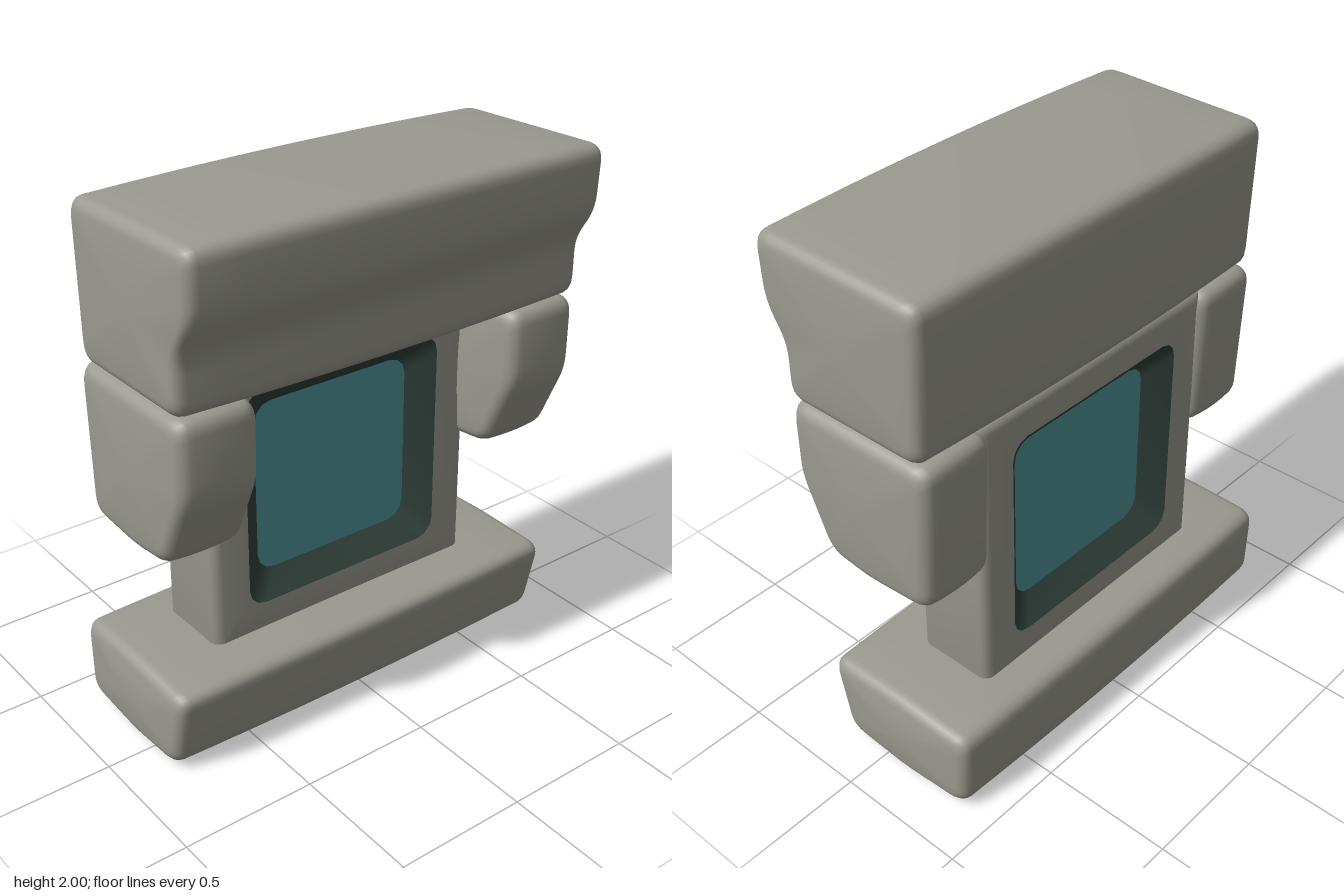
import * as THREE from 'three';
import { toCreasedNormals } from 'three/addons/utils/BufferGeometryUtils.js';

const material = (name, color, extra = {}) => {
  const m = new THREE.MeshStandardMaterial({ color, ...extra });
  m.name = name;
  return m;
};

// Skins a list of closed rings (equal point counts) with smooth, creased normals
function loft(rings, crease = 0.6) {
  const n = rings[0].length;
  const index = [];
  for (let r = 0; r < rings.length - 1; r++) {
    for (let i = 0; i < n; i++) {
      const j = (i + 1) % n;
      const a = r * n + i, b = r * n + j, c = a + n, d = b + n;
      index.push(a, b, d, a, d, c);
    }
  }
  const g = new THREE.BufferGeometry().setFromPoints(rings.flat());
  g.setIndex(index);
  return toCreasedNormals(g, crease);
}

// Rounds every corner of a [z, y] profile
function roundProfile(points, radius) {
  const pts = points.map(([x, y]) => new THREE.Vector2(x, y));
  return pts.flatMap((p, i) => {
    const toward = (q) => {
      const d = q.clone().sub(p);
      return p.clone().addScaledVector(d, Math.min(radius / d.length(), 0.45));
    };
    const prev = pts[(i + pts.length - 1) % pts.length];
    const next = pts[(i + 1) % pts.length];
    return new THREE.QuadraticBezierCurve(toward(prev), p, toward(next)).getPoints(5);
  });
}

// Soft stone block: a profile run along x, slightly swollen, with rounded ends
function stoneBlock(points, width, radius = 0.06) {
  const profile = roundProfile(points, radius);
  const box = new THREE.Box2().setFromPoints(profile);
  const c = box.getCenter(new THREE.Vector2());
  const half = box.getSize(new THREE.Vector2()).multiplyScalar(0.5);
  const X = width / 2, swell = 0.012, r = 0.045, end = X - swell;

  const ring = (x, inset, scale = 1) => {
    const k = (1 - 0.04 * (x / X) ** 2) * scale;
    return profile.map((p) => new THREE.Vector3(
      x,
      c.y + (p.y - c.y) * k * (1 - inset / half.y),
      c.x + (p.x - c.x) * k * (1 - inset / half.x)));
  };

  // One half from the middle outward, then mirrored
  const stations = [];
  for (let i = 1; i <= 5; i++) stations.push([(end - r) * i / 5, 0, 1]);
  for (let i = 1; i <= 5; i++) {
    const a = i / 5 * Math.PI / 2;
    stations.push([end - r + r * Math.sin(a), r * (1 - Math.cos(a)), 1]);
  }
  for (const s of [0.7, 0.35, 0]) stations.push([end + swell * (1 - s * s), r, s]);
  const mirrored = stations.map(([x, i, s]) => [-x, i, s]).reverse();
  return loft([...mirrored, [0, 0, 1], ...stations].map((s) => ring(...s)));
}

// Rounded rectangle ring at depth z, counter-clockwise from the front
function rectRing(w, y0, y1, r, z) {
  const cy = (y0 + y1) / 2, hx = w / 2 - r, hy = (y1 - y0) / 2 - r;
  const out = [];
  for (let q = 0; q < 4; q++) {
    const sx = q === 0 || q === 3 ? 1 : -1;
    const sy = q < 2 ? 1 : -1;
    for (let i = 0; i <= 3; i++) {
      const a = (q + i / 3) * Math.PI / 2;
      out.push(new THREE.Vector3(sx * hx + r * Math.cos(a), cy + sy * hy + r * Math.sin(a), z));
    }
  }
  return out;
}

export function createModel() {
  const stone = material('stone', 0x9b9a90);
  const reveal = material('darkReveal', 0x30403a);
  const glass = material('tealGlass', 0x509599);

  const model = new THREE.Group();
  model.name = 'stoneWindow';
  const add = (name, geometry, mat, x = 0) => {
    const mesh = new THREE.Mesh(geometry, mat);
    mesh.name = name;
    mesh.position.x = x;
    model.add(mesh);
  };

  // Top beam with an overhanging front lip
  add('lintel', stoneBlock([
    [0.42, 2.0], [0.408, 1.76], [0.32, 1.62], [0.32, 1.405],
    [-0.28, 1.405], [-0.295, 1.985],
  ], 1.7), stone);

  // Bracket stones under both ends of the beam
  for (const side of [1, -1]) {
    add(side > 0 ? 'leftBracket' : 'rightBracket', stoneBlock([
      [0.32, 1.415], [0.318, 1.13], [0.19, 0.845], [0, 0.825],
      [-0.275, 0.845], [-0.295, 1.415],
    ], 0.33), stone, side * 0.687);
  }

  // Bottom ledge
  add('sill', stoneBlock([
    [0.255, 0.345], [0.185, 0.02], [-0.1, 0], [-0.41, 0.025],
    [-0.418, 0.345], [-0.1, 0.355],
  ], 1.7), stone);

  // Frame with rounded outer edges and an opening through it
  const front = 0.05, back = -0.262, bevel = 0.04;
  const edge = (k) => {
    const a = k / 4 * Math.PI / 2;
    const inset = bevel * (1 - Math.cos(a));
    return { inset, depth: bevel * (1 - Math.sin(a)) };
  };
  const outer = (k, isFront) => {
    const { inset, depth } = edge(k);
    return rectRing(1.14 - 2 * inset, 0.31 + inset, 1.42 - inset, 0.01,
      isFront ? front - depth : back + depth);
  };
  const opening = (z) => rectRing(0.84, 0.45, 1.285, 0.07, z);
  const inner = (z) => rectRing(0.665, 0.53, 1.195, 0.07, z);
  add('frame', loft([
    opening(back),
    ...[4, 3, 2, 1, 0].map((k) => outer(k, false)),
    ...[0, 1, 2, 3, 4].map((k) => outer(k, true)),
    opening(front),
  ]), stone);

  // Sloping reveals and glass panes on both faces
  const depth = 0.075;
  add('frontReveal', loft([opening(front), inner(front - depth)]), reveal);
  add('backReveal', loft([inner(back + depth), opening(back)]), reveal);
  const pane = new THREE.Shape(inner(0).map((p) => new THREE.Vector2(p.x, p.y)));
  const frontPane = new THREE.ShapeGeometry(pane).translate(0, 0, front - depth);
  const backPane = new THREE.ShapeGeometry(pane).rotateY(Math.PI).translate(0, 0, back + depth);
  add('frontPane', frontPane, glass);
  add('backPane', backPane, glass);

  return model;
}
